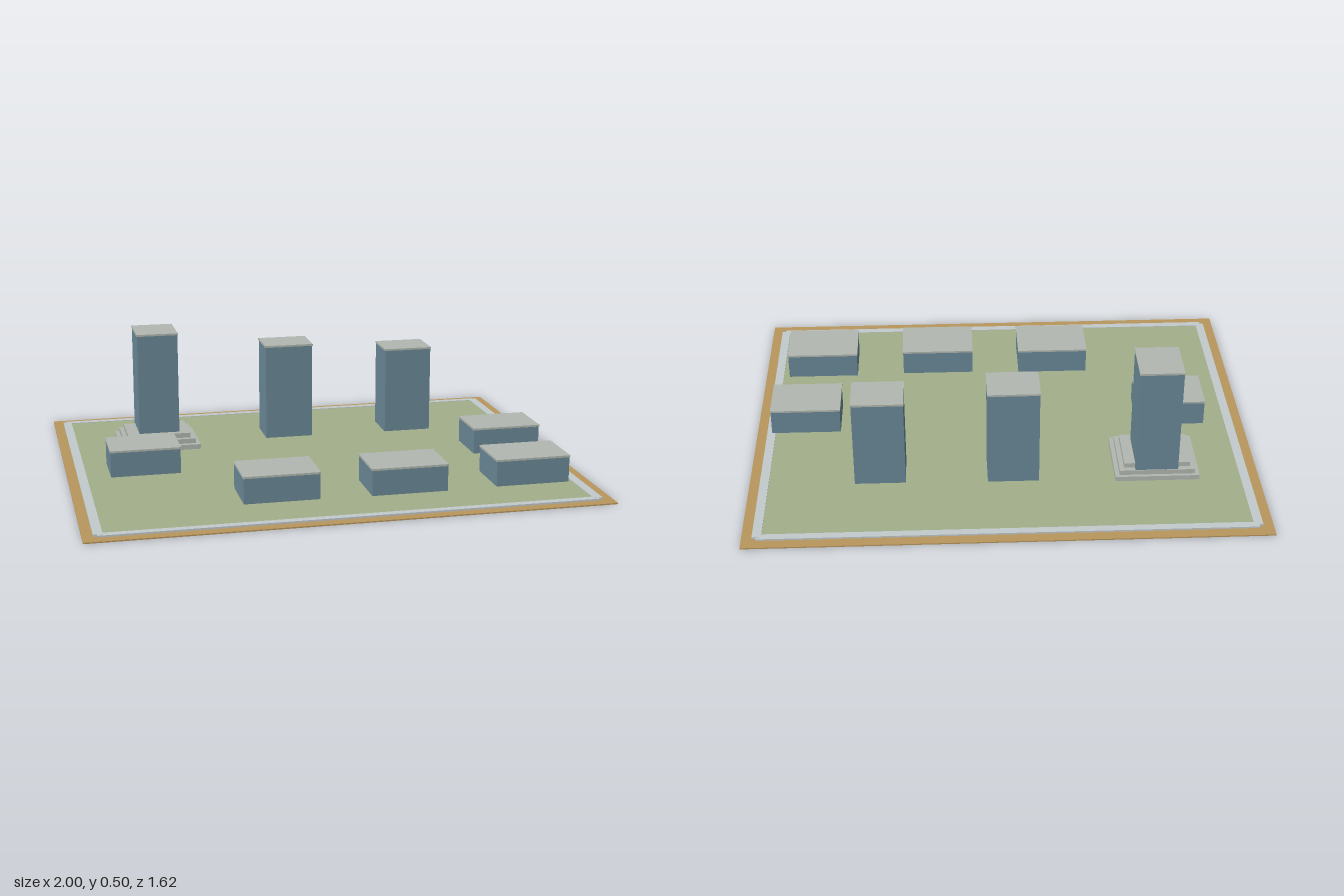
import * as THREE from 'three';

const mat = (name, color) => {
  const m = new THREE.MeshStandardMaterial({ color });
  m.name = name;
  return m;
};

export function createModel() {
  const model = new THREE.Group();
  model.name = 'campusModel';

  const tan = mat('tan border', 0xb9975c);
  const green = mat('lawn green', 0xa3af8a);
  const pale = mat('pale path', 0xc2cacd);
  const blue = mat('blue wall', 0x6a8996);
  const stone = mat('grey stone', 0xb2b7b0);

  // Box given by its limits on each axis
  const slab = (name, material, [x0, x1], [y0, y1], [z0, z1], parent = model) => {
    const mesh = new THREE.Mesh(new THREE.BoxGeometry(x1 - x0, y1 - y0, z1 - z0), material);
    mesh.position.set((x0 + x1) / 2, (y0 + y1) / 2, (z0 + z1) / 2);
    mesh.name = name;
    parent.add(mesh);
  };

  // Ground: base board, lawn and surrounding path
  slab('baseBoard', tan, [-1, 1], [0, 0.005], [-0.81, 0.81]);
  slab('lawn', green, [-0.935, 0.935], [0.005, 0.01], [-0.745, 0.745]);
  for (const s of [-1, 1]) {
    const span = (a, b) => (s > 0 ? [a, b] : [-b, -a]);
    slab('longPath', pale, [-0.945, 0.945], [0.005, 0.012], span(0.738, 0.768));
    slab('sidePath', pale, span(0.925, 0.96), [0.005, 0.0125], [-0.755, 0.755]);
  }

  // Stepped plinth under the tallest tower
  const steps = [
    [[-0.76, -0.43], [-0.468, -0.193]],
    [[-0.742, -0.447], [-0.455, -0.214]],
    [[-0.725, -0.466], [-0.434, -0.235]],
  ];
  steps.forEach(([x, z], i) =>
    slab('plinthStep', stone, x, [0.02 + i * 0.02, 0.04 + i * 0.02], z));

  // Buildings: walls with a thin, slightly overhanging roof
  const building = (name, x, z, top) => {
    const g = new THREE.Group();
    g.name = name;
    const inset = ([a, b]) => [a + 0.002, b - 0.002];
    slab('walls', blue, inset(x), [0.02, top - 0.008], inset(z), g);
    slab('roof', stone, x, [top - 0.008, top], z, g);
    model.add(g);
  };

  building('tallTower', [-0.678, -0.507], [-0.454, -0.26], 0.502);
  building('middleTower', [-0.134, 0.07], [-0.452, -0.289], 0.422);
  building('shortTower', [0.386, 0.589], [-0.445, -0.279], 0.385);

  for (const x of [[-0.836, -0.556], [0.656, 0.94]])
    building('sideBlock', x, [-0.078, 0.126], 0.127);
  for (const x of [[-0.387, -0.091], [0.602, 0.9]])
    building('frontBlock', x, [0.355, 0.567], 0.127);
  building('frontBlock', [0.105, 0.407], [0.364, 0.575], 0.127);

  return model;
}
